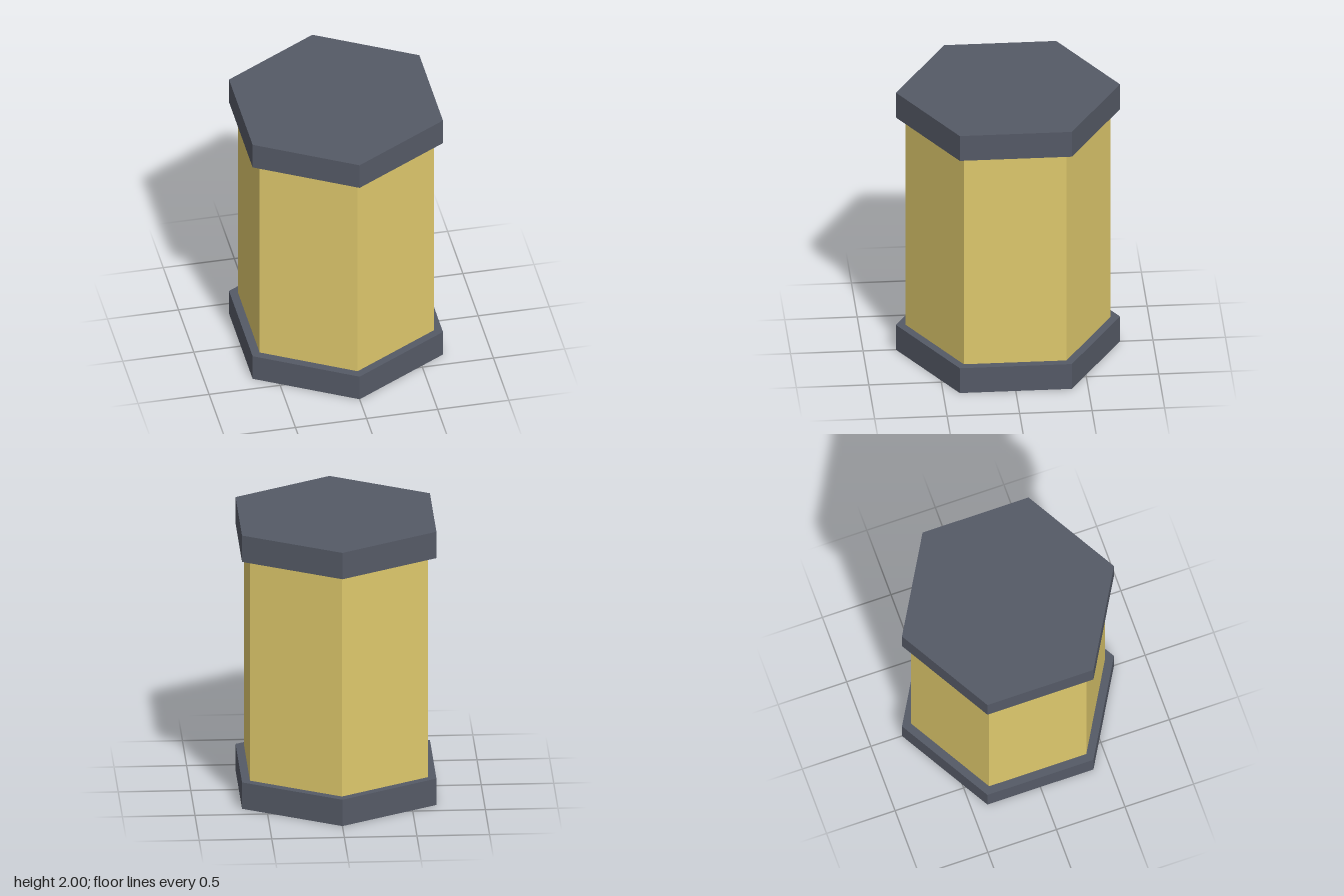
import * as THREE from 'three';

const HEIGHT = 2;
const CAP_HEIGHT = 0.193;
const CAP_RADIUS = 0.773;
const BODY_RADIUS = 0.708;

// Upright hexagonal prism with corners on +z and -z
function hexPrism(name, radius, height, y, material) {
  const mesh = new THREE.Mesh(new THREE.CylinderGeometry(radius, radius, height, 6), material);
  mesh.name = name;
  mesh.position.y = y;
  return mesh;
}

export function createModel() {
  const group = new THREE.Group();
  group.name = 'hexagonalCanister';

  const gold = new THREE.MeshStandardMaterial({ color: 0xdec86c, flatShading: true });
  const slate = new THREE.MeshStandardMaterial({ color: 0x555a66, flatShading: true });

  // Body between two wider end caps
  group.add(
    hexPrism('bottomCap', CAP_RADIUS, CAP_HEIGHT, CAP_HEIGHT / 2, slate),
    hexPrism('body', BODY_RADIUS, HEIGHT - 2 * CAP_HEIGHT, HEIGHT / 2, gold),
    hexPrism('topCap', CAP_RADIUS, CAP_HEIGHT, HEIGHT - CAP_HEIGHT / 2, slate),
  );
  return group;
}
